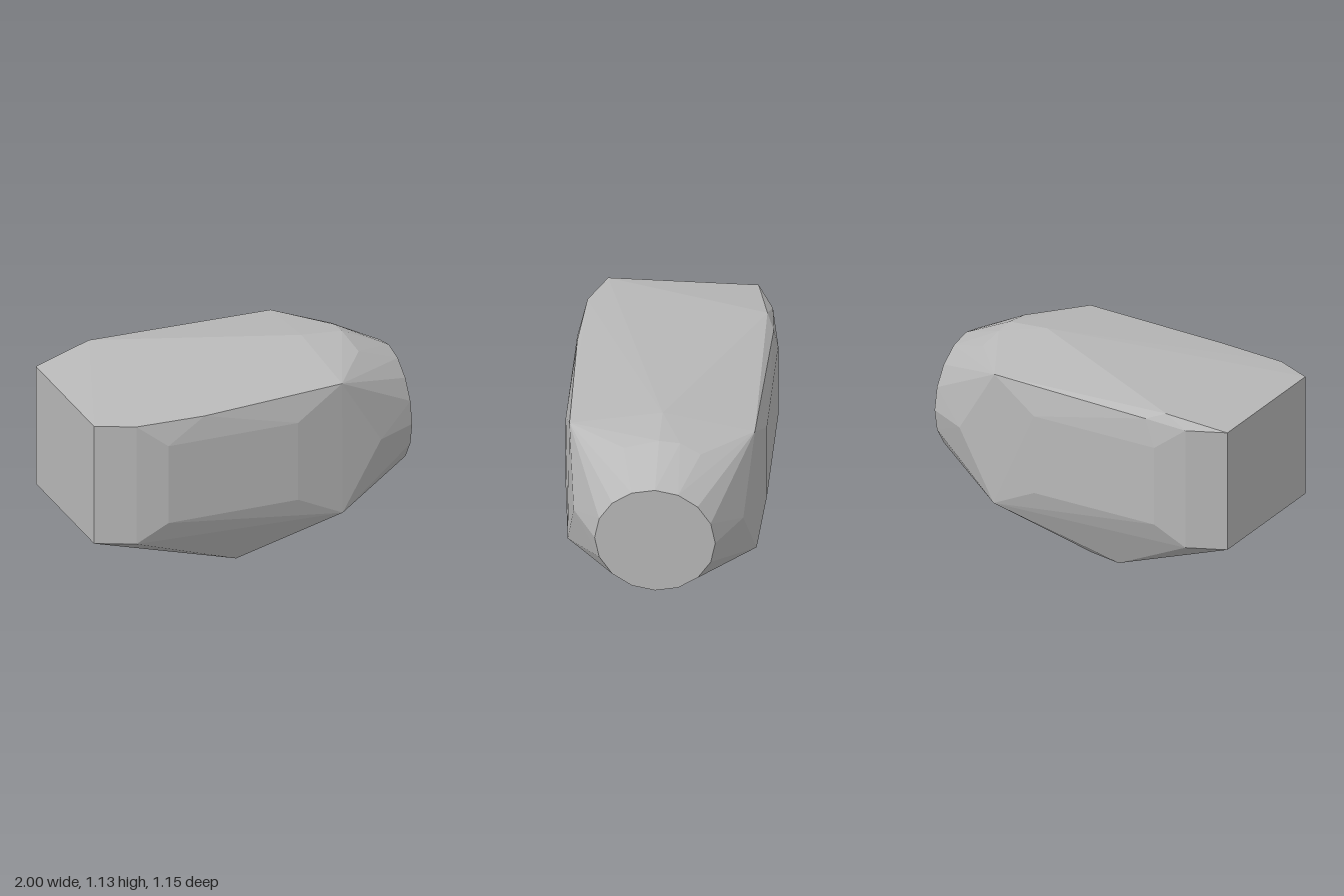
import * as THREE from 'three';
import { ConvexGeometry } from 'three/addons/geometries/ConvexGeometry.js';

export function createModel() {
  const group = new THREE.Group();
  const grey = new THREE.MeshStandardMaterial({ color: 0xb8b8b8 });
  grey.name = 'stone grey';

  const points = [];
  const add = (x, y, z) => points.push(new THREE.Vector3(x, y, z));
  const pair = (x, y, z) => { add(x, y, z); add(x, y, -z); };

  // round end cap
  for (let i = 0; i < 16; i++) {
    const a = (i / 16) * Math.PI * 2;
    add(1, 0.62 + 0.35 * Math.cos(a), 0.345 * Math.sin(a));
  }

  // shoulder ring behind the cap
  pair(0.75, 0.63, 0.485);
  pair(0.75, 0.205, 0.24);
  pair(0.75, 0.155, 0.13);
  add(0.75, 0.14, 0);
  add(0.71, 1.11, 0);
  add(0.73, 1.065, 0.2);
  add(0.71, 1.1, -0.12);
  add(0.74, 1.05, -0.24);

  // square end and its chamfer
  for (const y of [0.27, 1.01]) {
    pair(-1, y, 0.43);
    pair(-0.78, y, 0.53);
  }

  // flat side panels
  for (const x of [-0.6, 0.2]) {
    for (const y of [0.39, 0.875]) pair(x, y, 0.575);
  }

  // wide corners and upper rim
  pair(0.49, 1.05, 0.53);
  pair(0.49, 0.24, 0.54);
  add(-0.37, 1.015, 0.555);
  add(-0.53, 1.035, -0.555);

  // roof ridge
  add(0.46, 1.13, 0);
  add(-0.64, 1.075, -0.51);

  // flat underside
  add(-0.11, 0, 0.4);
  add(-0.27, 0, -0.42);
  add(-0.07, 0, -0.38);
  add(0.07, 0, -0.3);
  add(0.16, 0, -0.1);
  add(-0.7, 0.1, 0);

  const body = new THREE.Mesh(new ConvexGeometry(points), grey);
  body.name = 'facetedBody';
  group.add(body);
  return group;
}
